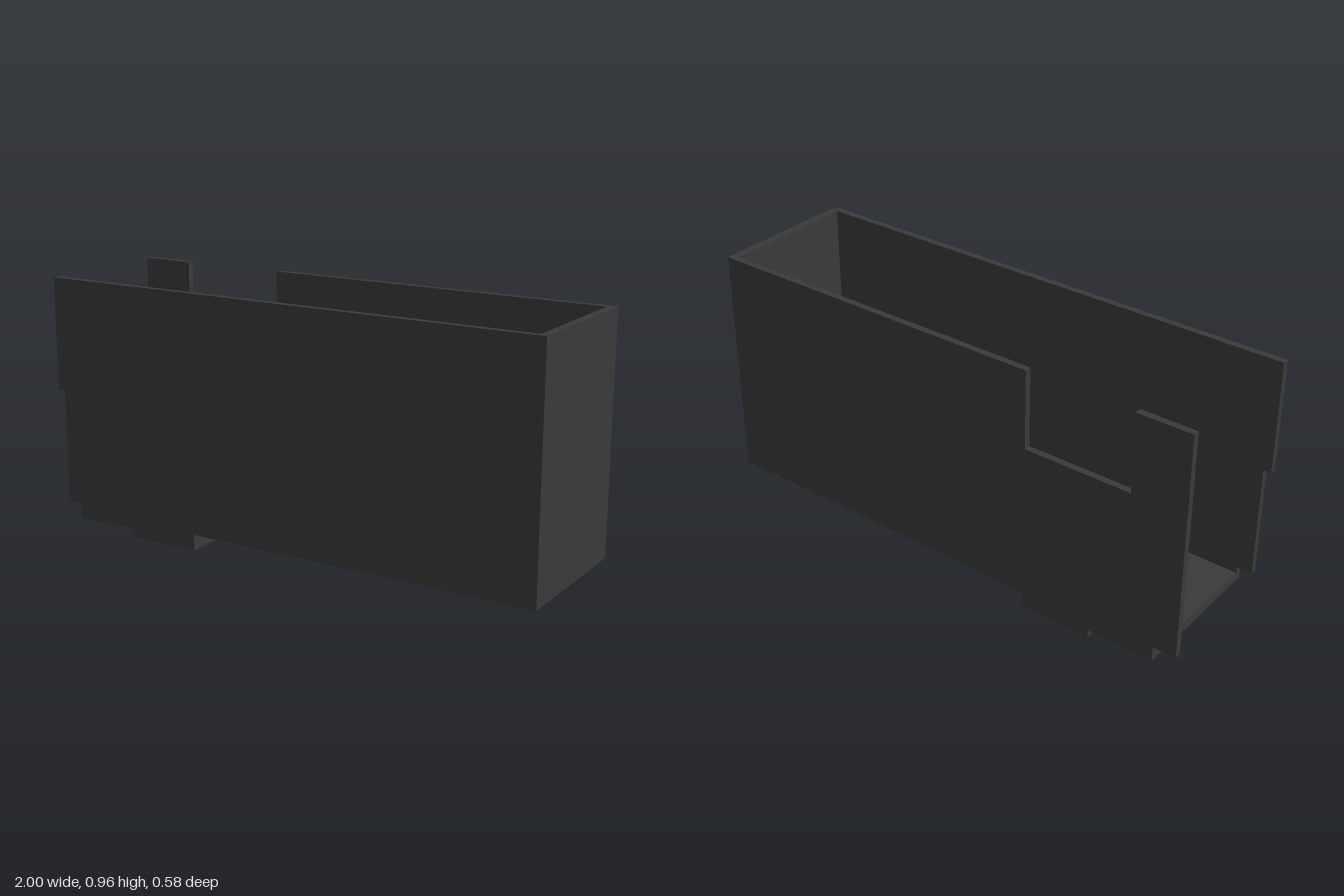
import * as THREE from 'three';

const HALF = 0.29;   // half depth of the case
const WALL = 0.025;  // side wall thickness
const FLOOR = 0.09;  // top of the main floor

export function createModel() {
  const group = new THREE.Group();
  const material = new THREE.MeshStandardMaterial({ color: 0x3a3a3a, flatShading: true });

  const add = (name, geometry) => {
    const mesh = new THREE.Mesh(geometry, material);
    mesh.name = name;
    group.add(mesh);
    return mesh;
  };

  // Extrude an (x, y) outline from z0 to z1
  const slab = (name, points, z0, z1) => {
    const shape = new THREE.Shape(points.map(([x, y]) => new THREE.Vector2(x, y)));
    const geometry = new THREE.ExtrudeGeometry(shape, { depth: z1 - z0, bevelEnabled: false });
    return add(name, geometry.translate(0, 0, z0));
  };

  // Stepped underside shared by the walls and the floor, left to right
  const underside = [[-0.91, 0.03], [-0.65, 0.03], [-0.65, 0], [-0.37, 0], [-0.37, 0.06]];
  const wallBottom = [[-0.91, 0.09], ...underside, [1, 0.06], [1, 0.96]];

  // Front wall, its left edge set back in the lower half
  slab('frontWall', [[-0.97, 0.09], ...wallBottom, [-1, 0.96], [-1, 0.53], [-0.97, 0.53]],
    HALF - WALL, HALF);

  // Back wall with a rectangular notch in the top edge
  slab('backWall', [[-1, 0.09], ...wallBottom,
    [-0.37, 0.96], [-0.37, 0.66], [-0.79, 0.66], [-0.79, 0.96], [-1, 0.96]],
    -HALF, -HALF + WALL);

  // Closed end; the opposite end stays open
  slab('endWall', [[0.97, 0.06], [1, 0.06], [1, 0.96], [0.97, 0.96]], -HALF + WALL, HALF - WALL);

  // Floor with a sunken step well
  slab('floor', [...underside, [0.97, 0.06], [0.97, FLOOR],
    [-0.48, FLOOR], [-0.48, 0.075], [-0.54, 0.075], [-0.54, 0.06], [-0.565, 0.06],
    [-0.565, 0.045], [-0.595, 0.045], [-0.595, 0.03], [-0.62, 0.03], [-0.62, 0.065], [-0.91, 0.065]],
    -HALF + WALL, HALF - WALL);

  // Low raised pads on the floor: x0, x1, z0, z1, height
  const pads = [
    [-0.28, -0.07, -0.175, 0.09, 0.01],
    [-0.22, -0.07, -0.12, 0.055, 0.02],
    [-0.16, -0.07, -0.09, 0.005, 0.03],
    [-0.04, 0.07, -0.175, 0.09, 0.01],
    [0.07, 0.24, -0.175, 0.17, 0.02],
    [0.19, 0.24, 0.03, 0.11, 0.03],
    [0.275, 0.385, 0.09, 0.2, 0.01],
    [0.39, 0.475, -0.06, 0.03, 0.01],
    [0.62, 0.765, -0.235, -0.09, 0.01],
  ];
  pads.forEach(([x0, x1, z0, z1, h], i) => {
    add(`floorPad${i + 1}`, new THREE.BoxGeometry(x1 - x0, h, z1 - z0)
      .translate((x0 + x1) / 2, FLOOR + h / 2, (z0 + z1) / 2));
  });

  // Diagonal strip joining the last two pads
  const strip = slab('floorStrip', [[0.475, 0.025], [0.62, 0.16], [0.62, 0.2], [0.475, 0.06]], 0, 0.01);
  strip.rotation.x = -Math.PI / 2;
  strip.position.y = FLOOR;

  return group;
}
